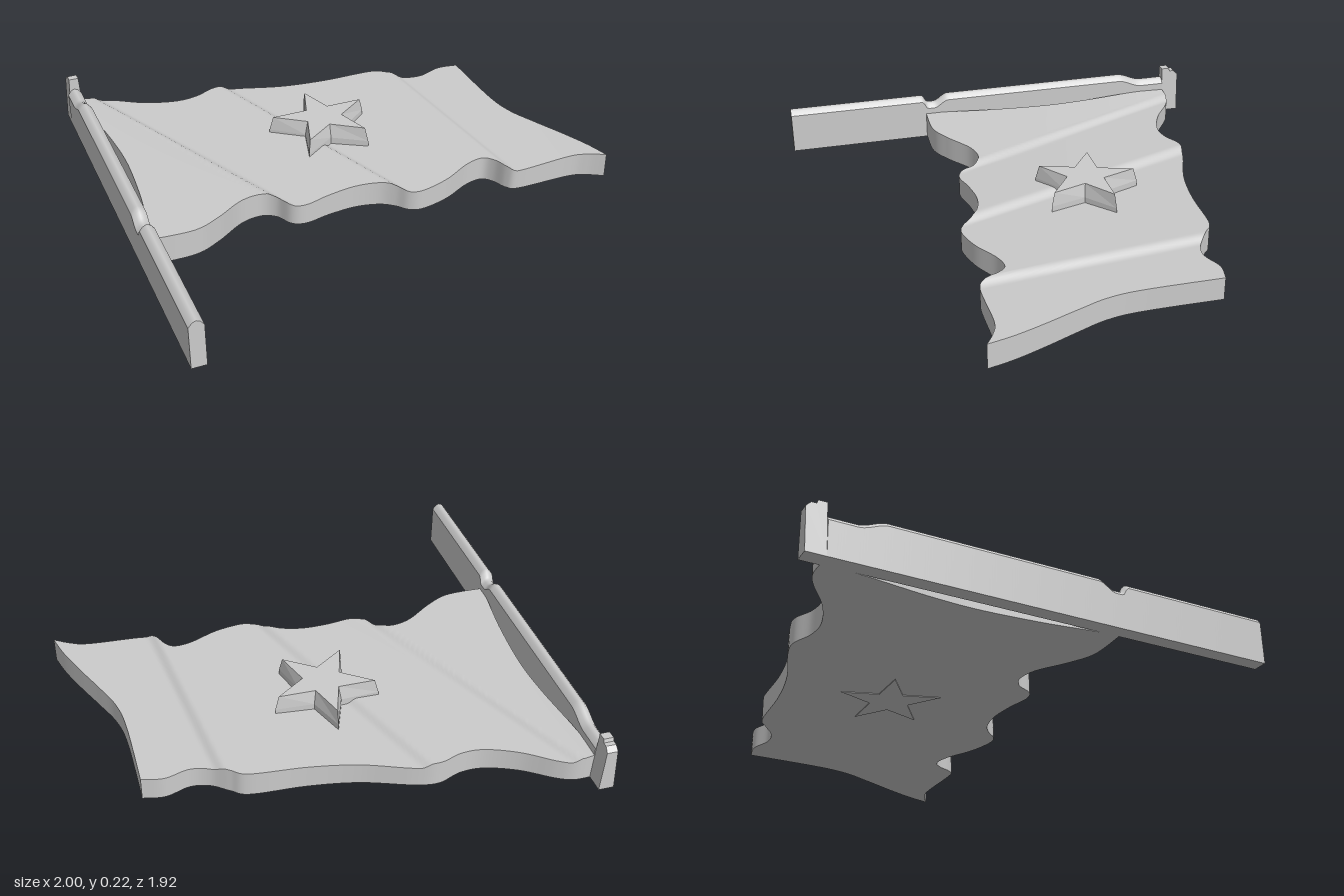
import * as THREE from 'three';

const lerp = THREE.MathUtils.lerp;
const step = THREE.MathUtils.smoothstep;
const material = new THREE.MeshStandardMaterial({ color: 0xcccccc });

// Smooth edge curve through [x, z] points
const edge = (pts) => new THREE.SplineCurve(pts.map(([x, z]) => new THREE.Vector2(x, z)));

const backEdge = edge([[-0.95, -0.88], [-0.87, -0.88], [-0.8, -0.85], [-0.68, -0.77], [-0.55, -0.72],
  [-0.45, -0.72], [-0.35, -0.755], [-0.25, -0.74], [-0.05, -0.67], [0.15, -0.635], [0.38, -0.62],
  [0.45, -0.58], [0.52, -0.53], [0.6, -0.515], [0.7, -0.545], [0.79, -0.53]]);
const frontEdge = edge([[-0.95, 0.32], [-0.78, 0.32], [-0.67, 0.27], [-0.55, 0.19], [-0.46, 0.17],
  [-0.4, 0.2], [-0.36, 0.27], [-0.3, 0.29], [-0.2, 0.27], [-0.08, 0.26], [0.02, 0.28], [0.08, 0.32],
  [0.12, 0.365], [0.18, 0.38], [0.3, 0.35], [0.42, 0.29], [0.5, 0.275], [0.54, 0.31], [0.57, 0.375],
  [0.62, 0.4], [0.85, 0.4], [0.93, 0.42], [1, 0.46]]);
const poleEdge = edge([[-0.95, -0.88], [-0.935, -0.7], [-0.905, -0.45], [-0.895, -0.25],
  [-0.91, 0], [-0.935, 0.2], [-0.95, 0.32]]);
const freeEdge = edge([[0.79, -0.53], [0.79, -0.2], [0.81, -0.05], [0.86, 0.08], [0.92, 0.22],
  [0.97, 0.35], [1, 0.46]]);

// Fold lines: x at z = 0 and slope dx/dz
const folds = [[-0.51, 0.438], [-0.05, 0.36], [0.52, 0.1]];

// Cloth height: each panel climbs gently, then drops at the next fold
function clothHeight(x, z) {
  const lines = folds.map(([x0, slope]) => x0 + slope * z);
  const bounds = [-1, ...lines, 1.02];
  let i = 0;
  while (i < 3 && x > bounds[i + 1]) i++;
  const t = THREE.MathUtils.clamp((x - bounds[i]) / Math.max(bounds[i + 1] - bounds[i], 0.05), 0, 1);
  if (i === 0) return lerp(0.12, 0.105, t);
  const panel = lerp(0.085, 0.108, t);
  return lerp(0.107, panel, step(x - bounds[i], 0, 0.045));
}

// Solid cloth: a subdivided box blended between its four edge curves
function makeCloth() {
  const geo = new THREE.BoxGeometry(1, 1, 1, 160, 1, 60);
  const pos = geo.attributes.position;
  const n = 160, m = 60;
  const back = backEdge.getSpacedPoints(n), front = frontEdge.getSpacedPoints(n);
  const left = poleEdge.getSpacedPoints(m), right = freeEdge.getSpacedPoints(m);
  for (let i = 0; i < pos.count; i++) {
    const u = pos.getX(i) + 0.5, v = pos.getZ(i) + 0.5;
    const a = Math.round(u * n), b = Math.round(v * m);
    const [x, z] = ['x', 'y'].map((k) =>
      lerp(back[a][k], front[a][k], v) + lerp(left[b][k], right[b][k], u)
      - lerp(lerp(back[0][k], back[n][k], u), lerp(front[0][k], front[n][k], u), v));
    pos.setXYZ(i, x, pos.getY(i) > 0 ? clothHeight(x, z) : 0, z);
  }
  geo.computeVertexNormals();
  return geo;
}

// Pole: ridged top, dipping where the cloth is tied on
function poleHeight(z) {
  const frontDip = step(z, 0.21, 0.28) * (1 - step(z, 0.31, 0.335));
  const backDip = 1 - step(z, -0.77, -0.65);
  return 0.205 - 0.035 * Math.max(frontDip, backDip);
}

function makePole() {
  const geo = new THREE.BoxGeometry(0.06, 1, 1.84, 4, 1, 180);
  const pos = geo.attributes.position;
  for (let i = 0; i < pos.count; i++) {
    const x = pos.getX(i), z = pos.getZ(i) + 0.04;
    const y = pos.getY(i) > 0 ? poleHeight(z) - 0.025 * (x / 0.03) ** 2 : 0;
    pos.setXYZ(i, x - 0.97, y, z);
  }
  geo.computeVertexNormals();
  return geo;
}

// Block at the pole's tip, narrowing slightly upwards with a stepped top
function makeFinial() {
  const shape = new THREE.Shape([[0.88, 0], [0.96, 0], [0.96, 0.185], [0.94, 0.205], [0.92, 0.205],
    [0.915, 0.22], [0.88, 0.22]].map(([a, y]) => new THREE.Vector2(a, y)));
  const geo = new THREE.ExtrudeGeometry(shape, { depth: 0.064, bevelEnabled: false });
  geo.rotateY(Math.PI / 2).translate(-1, 0, 0);
  const pos = geo.attributes.position;
  for (let i = 0; i < pos.count; i++) {
    const taper = 1 - 1.6 * pos.getY(i);
    pos.setX(i, -0.968 + (pos.getX(i) + 0.968) * taper);
  }
  geo.computeVertexNormals();
  return geo;
}

// Raised five-pointed star with sloping sides
function makeStar() {
  const pts = [];
  for (let i = 0; i < 10; i++) {
    const r = i % 2 ? 0.083 : 0.215, a = Math.PI / 2 + (i * Math.PI) / 5;
    pts.push(new THREE.Vector2(r * Math.cos(a), r * Math.sin(a)));
  }
  const geo = new THREE.ExtrudeGeometry(new THREE.Shape(pts), {
    depth: 0.06, bevelThickness: 0.06, bevelSize: 0.012, bevelSegments: 1,
  });
  geo.rotateX(-Math.PI / 2).translate(-0.03, 0.057, -0.21);
  return geo;
}

export function createModel() {
  const model = new THREE.Group();
  model.name = 'flag';
  const parts = { cloth: makeCloth(), pole: makePole(), finial: makeFinial(), star: makeStar() };
  for (const [name, geometry] of Object.entries(parts)) {
    const mesh = new THREE.Mesh(geometry, material);
    mesh.name = name;
    model.add(mesh);
  }
  return model;
}
